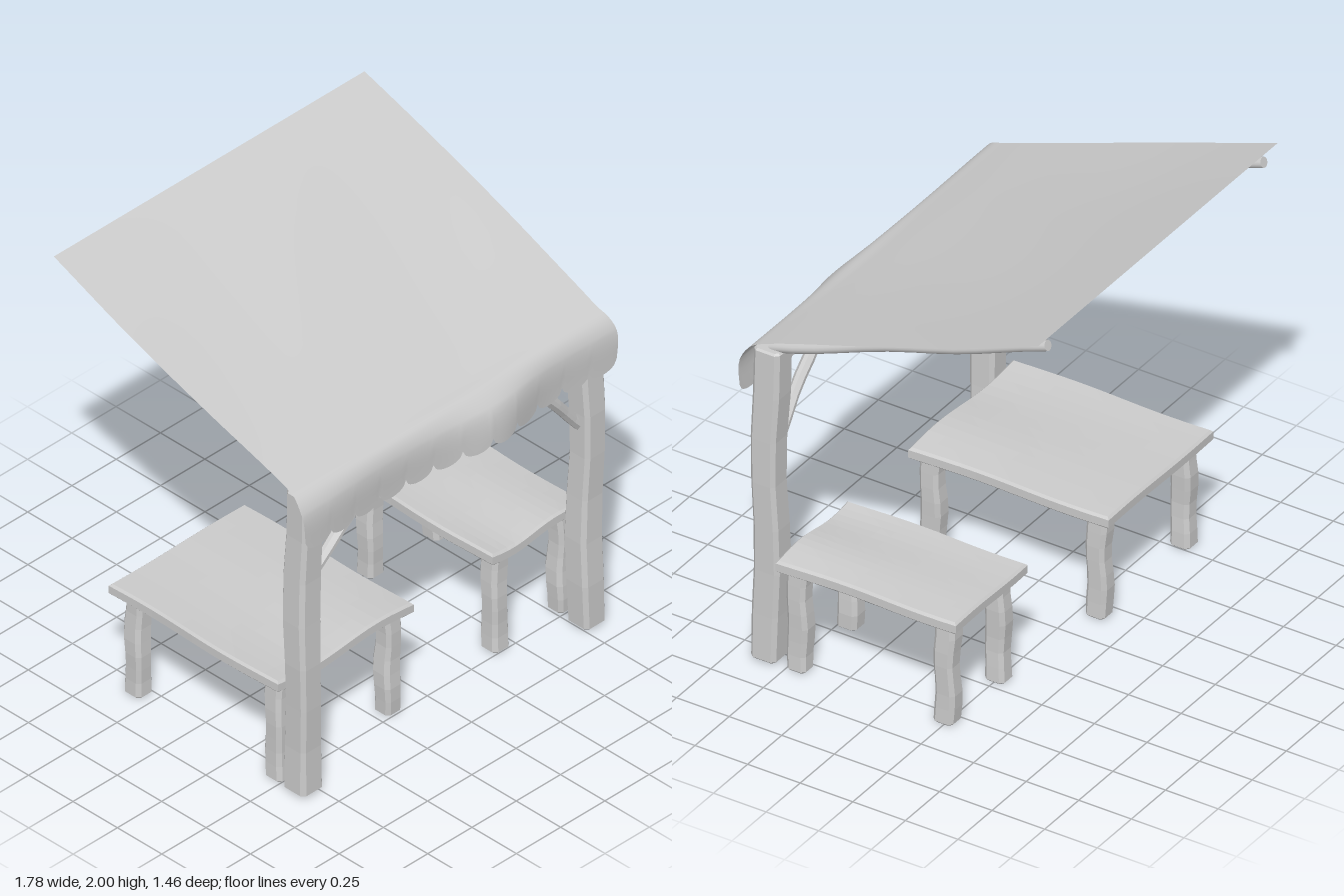
import * as THREE from 'three';

const grey = new THREE.MeshStandardMaterial({ color: 0xcccccc });
const hewn = new THREE.MeshStandardMaterial({ color: 0xcccccc, flatShading: true });
const cloth = new THREE.MeshStandardMaterial({ color: 0xcccccc, side: THREE.DoubleSide });
const V = (x, y, z) => new THREE.Vector3(x, y, z);

// Apply a rule to every vertex
function shape(geometry, rule) {
  const pos = geometry.attributes.position;
  const p = new THREE.Vector3();
  for (let i = 0; i < pos.count; i++) {
    p.fromBufferAttribute(pos, i);
    rule(p, i);
    pos.setXYZ(i, p.x, p.y, p.z);
  }
  geometry.computeVertexNormals();
  return geometry;
}

// Place a y-aligned mesh between two points
function span(mesh, from, to) {
  mesh.position.copy(from).add(to).multiplyScalar(0.5);
  mesh.quaternion.setFromUnitVectors(V(0, 1, 0), to.clone().sub(from).normalize());
  return mesh;
}

// Rough-hewn square beam with chamfered edges and a slight wander
function timber(name, from, to, w, d, wobble, seed) {
  const length = from.distanceTo(to), c = 0.012, b = 0.008;
  const x = w / 2 - b, z = d / 2 - b;
  const outline = new THREE.Shape([
    [-x + c, -z], [x - c, -z], [x, -z + c], [x, z - c],
    [x - c, z], [-x + c, z], [-x, z - c], [-x, -z + c],
  ].map(([a, e]) => new THREE.Vector2(a, e)));
  const geometry = new THREE.ExtrudeGeometry(outline, {
    depth: length - 2 * b, steps: 7, bevelEnabled: true,
    bevelSize: b, bevelThickness: b, bevelSegments: 1,
  });
  geometry.translate(0, 0, b - length / 2).rotateX(-Math.PI / 2);
  shape(geometry, p => {
    const t = p.y / length + 0.5;
    const swell = 1 + 0.04 * Math.sin(t * 9 + seed * 2);
    p.x = p.x * swell + wobble * Math.sin(t * 8 + seed);
    p.z = p.z * swell + wobble * Math.sin(t * 10.5 + seed * 1.7 + 2.2);
  });
  const mesh = span(new THREE.Mesh(geometry, hewn), from, to);
  mesh.name = name;
  return mesh;
}

// Table with a warped, chamfered board on four legs
function table(name, x0, x1, z0, z1, legX, legZ, seed) {
  const group = new THREE.Group();
  group.name = name;
  const w = x1 - x0, d = z1 - z0, h = 0.056, c = 0.01;
  const board = new THREE.BoxGeometry(w, h, d, 12, 3, 12);
  shape(board, p => {
    const outer = Math.abs(p.y) > h * 0.4;
    if (outer) {
      p.x *= 1 - 2 * c / w;
      p.z *= 1 - 2 * c / d;
    } else p.y = Math.sign(p.y) * (h / 2 - c);
    const front = p.z / d + 0.5;
    const u = p.x / w + 0.5;
    // the front edge is the most warped
    p.y -= (0.003 + 0.011 * front * front) * Math.sin(u * 6.6 - 0.2 + seed);
    p.x += 0.006 * Math.sin(front * 7 + seed) * Math.abs(2 * u - 1);
  });
  const top = new THREE.Mesh(board, hewn);
  top.name = 'tableTop';
  top.position.set((x0 + x1) / 2, 0.501, (z0 + z1) / 2);
  group.add(top);
  legX.forEach((x, i) => legZ.forEach((z, j) => group.add(
    timber('tableLeg', V(x, 0, z), V(x, 0.485, z), 0.088, 0.092, 0.004, seed + i * 2 + j))));
  return group;
}

// Awning sheet folding over the front into a scalloped hem
function canopy() {
  const profile = new THREE.CatmullRomCurve3([
    V(0, 2, -0.725), V(0, 1.842, -0.3), V(0, 1.668, 0.2), V(0, 1.54, 0.57),
    V(0, 1.505, 0.645), V(0, 1.44, 0.68), V(0, 1.315, 0.682),
  ]);
  const scallops = 12, cols = scallops * 12, rows = 30;
  const geometry = new THREE.PlaneGeometry(1, 1, cols, rows);
  shape(geometry, (p, i) => {
    const u = (i % (cols + 1)) / cols;
    const t = Math.floor(i / (cols + 1)) / rows;
    const q = profile.getPoint(t);
    const x = -0.885 + u * 1.76;
    const hang = THREE.MathUtils.smoothstep(t, 0.6, 1);
    const hem = THREE.MathUtils.clamp((t - 5 / 6) * 6, 0, 1);
    const f = (u * scallops) % 1;
    const slope = Math.sin(Math.PI * Math.min(t / 0.66, 1));
    // wavy side edges
    const side = u < 0.5 ? 0.007 * Math.sin(t * 11 + 2.5) : 0.013 * Math.sin(t * 9);
    p.x = x + side * Math.abs(2 * u - 1);
    // gentle sag over the slope, scallops along the hem
    p.y = q.y - 0.014 * slope * Math.sin(Math.PI * u) + 0.004 * slope * Math.sin(x * 6 + t * 8)
      - hem * 0.045 * Math.sqrt(Math.max(0, 1 - (2 * f - 1) ** 2))
      + hem * 0.005 * Math.cos(x * 5);
    // bulge in the hanging front
    p.z = q.z + hang * (0.045 * Math.exp(-(((x - 0.2) / 0.2) ** 2)) - 0.009 * Math.cos(x * 7 + 2.8));
  });
  const mesh = new THREE.Mesh(geometry, cloth);
  mesh.name = 'canopy';
  return mesh;
}

// Round pole carrying one side of the awning
function rail(x) {
  const from = V(x, 1.485, 0.59), to = V(x, 1.955, -0.72);
  const length = from.distanceTo(to);
  const geometry = new THREE.CylinderGeometry(0.023, 0.023, length, 12, 12);
  shape(geometry, p => {
    const t = p.y / length + 0.5;
    p.z -= 0.01 * Math.sin(Math.PI * t) * 0.6 + 0.004 * Math.sin(t * 12);
    p.x += 0.006 * Math.sin(t * 9 + x);
  });
  const mesh = span(new THREE.Mesh(geometry, grey), from, to);
  mesh.name = 'canopyRail';
  return mesh;
}

export function createModel() {
  const model = new THREE.Group();
  model.name = 'marketStall';
  const z = 0.595;

  // Posts and side rails
  for (const s of [-1, 1]) {
    model.add(timber('post', V(s * 0.798, 0.01, z), V(s * 0.798, 1.49, z), 0.118, 0.12, 0.007, s + 2));
    model.add(rail(s * 0.795));
  }

  // Front beam and its braces
  model.add(timber('frontBeam', V(-0.78, 1.425, z), V(0.78, 1.425, z), 0.09, 0.08, 0.006, 1));
  model.add(timber('rightBrace', V(-0.78, 1.025, z), V(-0.33, 1.4, z), 0.05, 0.05, 0.003, 2));
  model.add(timber('leftBrace', V(0.78, 0.985, z), V(0.42, 1.4, z), 0.05, 0.05, 0.003, 4));

  // Awning
  model.add(canopy());

  // Two tables
  model.add(table('wideTable', -0.872, -0.105, -0.425, 0.525, [-0.795, -0.18], [0.455, -0.335], 0));
  model.add(table('narrowTable', 0.34, 0.867, -0.33, 0.525, [0.425, 0.795], [0.455, -0.245], 0.3));

  return model;
}
